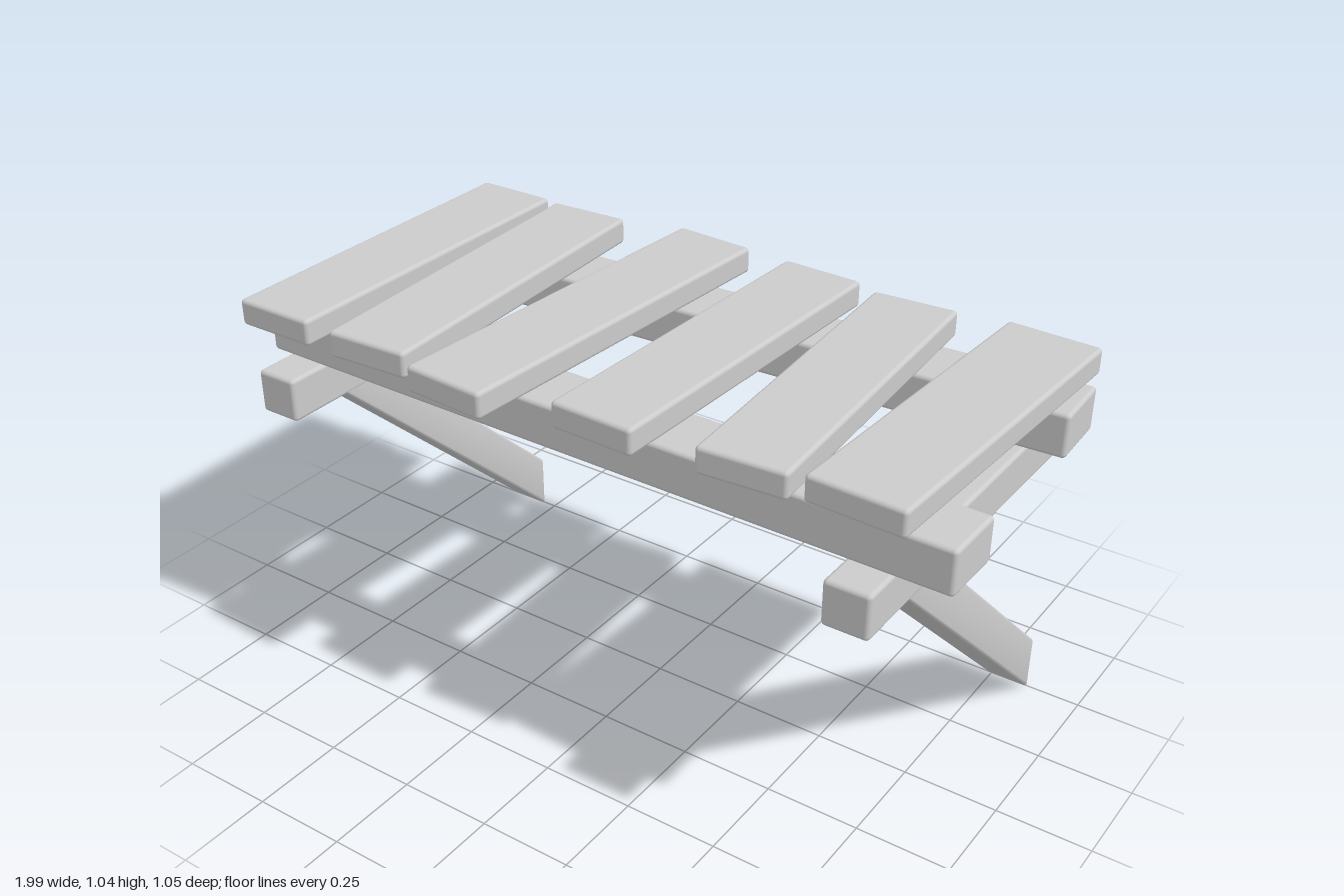
import * as THREE from 'three';
import { RoundedBoxGeometry } from 'three/addons/geometries/RoundedBoxGeometry.js';
import { toCreasedNormals } from 'three/addons/utils/BufferGeometryUtils.js';

const wood = new THREE.MeshStandardMaterial({ color: 0xcccccc });

// Softly rounded board, turned about the vertical axis
function board(name, [w, h, d], [x, y, z], turn = 0) {
  const mesh = new THREE.Mesh(new RoundedBoxGeometry(w, h, d, 2, 0.011), wood);
  mesh.name = name;
  mesh.position.set(x, y, z);
  mesh.rotation.y = turn;
  return mesh;
}

// Slanted leg: a rounded section swept from an upright cut at the foot
// to a level cut under the crossbeam
function legGeometry() {
  const w = 0.0575, h = 0.157, r = 0.01;
  const s = new THREE.Shape();
  s.moveTo(-w + r, 0);
  s.lineTo(w - r, 0);
  s.quadraticCurveTo(w, 0, w, r);
  s.lineTo(w, h - r);
  s.quadraticCurveTo(w, h, w - r, h);
  s.lineTo(-w + r, h);
  s.quadraticCurveTo(-w, h, -w, h - r);
  s.lineTo(-w, r);
  s.quadraticCurveTo(-w, 0, -w + r, 0);
  const geo = new THREE.ExtrudeGeometry(s, { depth: 1, bevelEnabled: false, curveSegments: 3 });
  const p = geo.attributes.position;
  for (let i = 0; i < p.count; i++) {
    const y = p.getY(i);
    if (p.getZ(i) < 0.5) p.setXYZ(i, p.getX(i), y, -0.498);
    else p.setXYZ(i, p.getX(i), 0.742, 0.298 - (y / h) * 0.168);
  }
  return toCreasedNormals(geo, 0.7);
}

export function createModel() {
  const group = new THREE.Group();

  // Table top planks: centre x, centre z, width, length, sideways drift
  const planks = [
    [-0.828, -0.005, 0.226, 0.96, 0],
    [-0.546, -0.003, 0.229, 0.957, 0.047],
    [-0.216, -0.004, 0.228, 1.042, -0.068],
    [0.145, -0.022, 0.226, 0.961, -0.035],
    [0.4725, -0.023, 0.226, 0.909, 0.06],
    [0.784, -0.046, 0.248, 0.911, -0.038],
  ];
  planks.forEach(([x, z, w, l, drift], i) =>
    group.add(board(`plank${i + 1}`, [w, 0.07, l], [x, 1.003, z], Math.asin(drift / l))));

  // Long rails under the planks
  group.add(board('backRail', [1.945, 0.116, 0.175], [-0.022, 0.91, -0.308], 0.042));
  group.add(board('frontRail', [1.95, 0.116, 0.172], [0.02, 0.91, 0.293], -0.01));

  // Crossbeams, each with a slanted leg
  const leg = legGeometry();
  for (const [side, x] of [['right', -0.846], ['left', 0.796]]) {
    group.add(board(`${side}Crossbeam`, [0.117, 0.117, 0.975], [x, 0.794, -0.01]));
    const mesh = new THREE.Mesh(leg, wood);
    mesh.name = `${side}Leg`;
    mesh.position.x = x;
    group.add(mesh);
  }
  return group;
}
